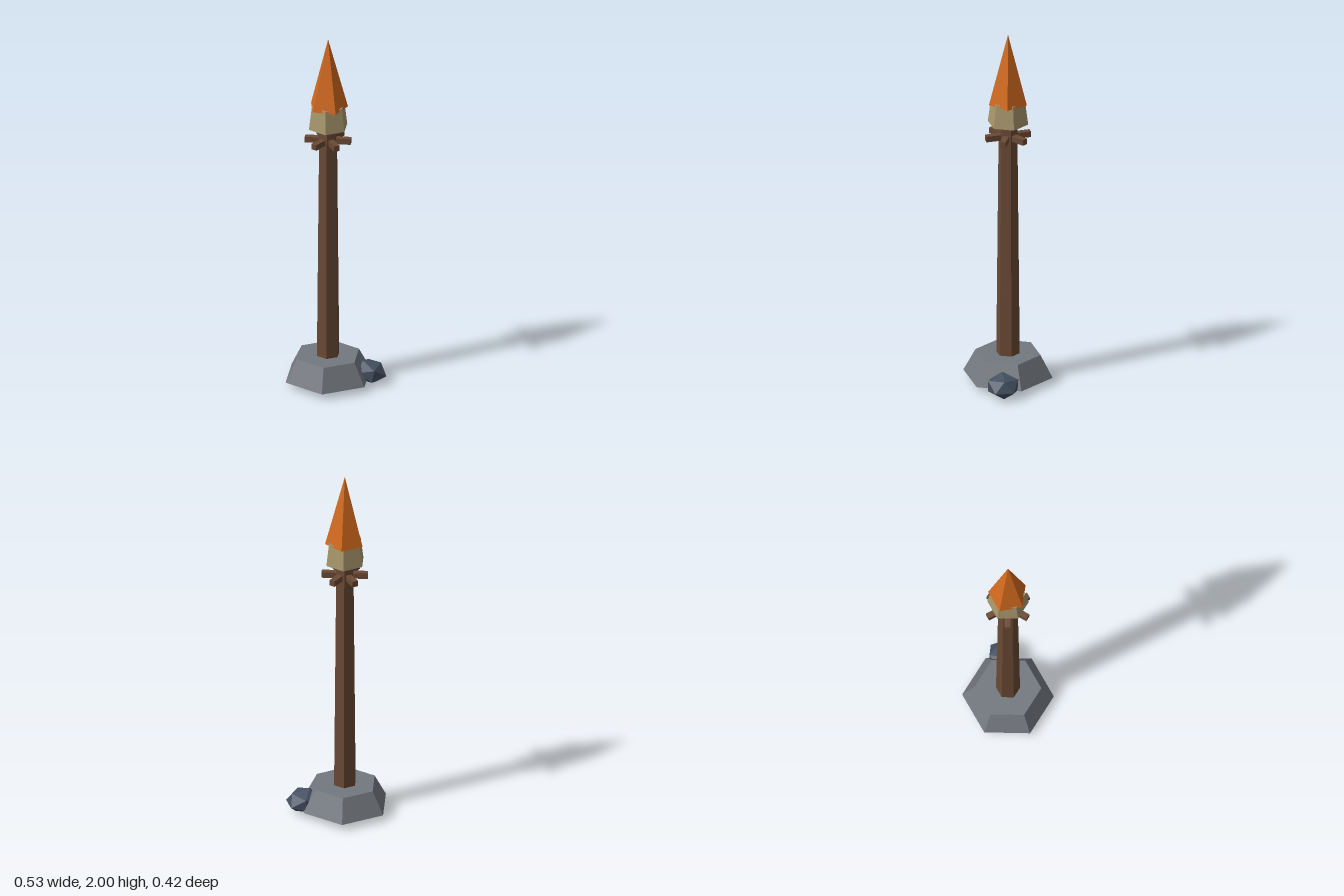
import * as THREE from 'three';

const mat = (name, color) => {
  const m = new THREE.MeshStandardMaterial({ color, flatShading: true });
  m.name = name;
  return m;
};

export function createModel() {
  const stone = mat('stone grey', 0x73787f);
  const slate = mat('slate blue', 0x455162);
  const wood = mat('wood brown', 0x6b4a35);
  const cloth = mat('cloth tan', 0xaa986e);
  const flameOrange = mat('flame orange', 0xd2691e);

  const group = new THREE.Group();
  group.name = 'torchPost';
  const AXIS = -0.022;

  const add = (name, geometry, material, x, y, z) => {
    const mesh = new THREE.Mesh(geometry, material);
    mesh.name = name;
    mesh.position.set(x, y, z);
    group.add(mesh);
    return mesh;
  };

  // Tapered six-sided prism with corners on the x axis
  const hexPrism = (name, rTop, rBottom, y0, y1, material) => add(
    name,
    new THREE.CylinderGeometry(rTop, rBottom, y1 - y0, 6).rotateY(Math.PI / 6),
    material, AXIS, (y0 + y1) / 2, 0);

  hexPrism('base', 0.177, 0.243, 0.035, 0.16, stone);
  hexPrism('pole', 0.05, 0.064, 0.15, 1.55, wood);
  hexPrism('collar', 0.093, 0.11, 1.49, 1.62, cloth);

  // Ring of short pegs around the pole
  for (let i = 0; i < 6; i++) {
    const peg = new THREE.BoxGeometry(0.032, 0.032, 0.09).translate(0, 0, 0.078);
    add('peg', peg, wood, AXIS, 1.414, 0).rotation.y = i * Math.PI / 3;
  }

  // Five-sided flame
  add('flame', new THREE.ConeGeometry(0.106, 0.395, 5), flameOrange, AXIS, 1.8025, 0);

  // Small rock leaning against the base
  const rock = add('rock', new THREE.IcosahedronGeometry(0.094, 0), slate, 0.182, 0.064, 0.089);
  rock.scale.y = 0.68;
  rock.rotation.set(0, -0.19, -0.2);

  return group;
}
